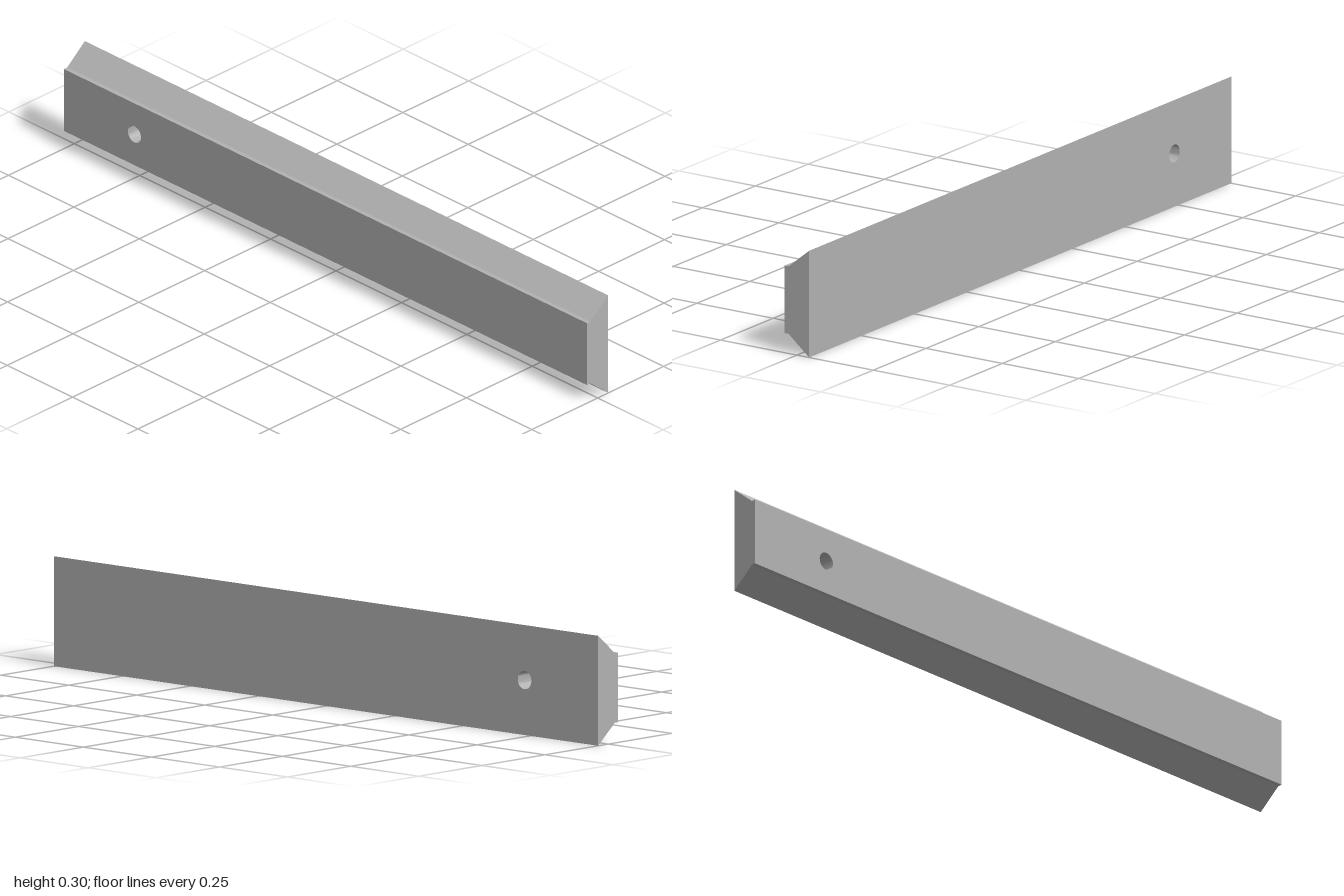
import * as THREE from 'three';
import { toCreasedNormals } from 'three/addons/utils/BufferGeometryUtils.js';

const LENGTH = 2, BACK_HEIGHT = 0.3, FRONT_HEIGHT = 0.19;
const BACK_Z = -0.04, LIP_Z = 0.027, FRONT_Z = 0.04;
const HOLE_X = -0.73, HOLE_RADIUS = 0.025;

export function createModel() {
  const grey = new THREE.MeshStandardMaterial({ color: 0xb2b2b2 });
  grey.name = 'grey';

  // Rectangular back face with a round through hole
  const w = LENGTH / 2, h = BACK_HEIGHT / 2;
  const outline = new THREE.Shape([
    new THREE.Vector2(-w, -h), new THREE.Vector2(w, -h),
    new THREE.Vector2(w, h), new THREE.Vector2(-w, h),
  ]);
  outline.holes.push(new THREE.Path().absarc(HOLE_X, 0, HOLE_RADIUS, 0, Math.PI * 2, true));

  // Three rings of vertices: back edge, start of the lip, front edge
  let geometry = new THREE.ExtrudeGeometry(outline, {
    depth: 2, steps: 2, bevelEnabled: false, curveSegments: 32,
  });
  const ringZ = [BACK_Z, LIP_Z, FRONT_Z];
  const ringHeight = [BACK_HEIGHT, FRONT_HEIGHT, FRONT_HEIGHT];
  const p = geometry.attributes.position;
  for (let i = 0; i < p.count; i++) {
    const ring = Math.round(p.getZ(i));
    const y = p.getY(i);
    // Narrow the outer edges towards the lip, leaving the hole round
    if (Math.abs(y) > HOLE_RADIUS * 2) p.setY(i, Math.sign(y) * ringHeight[ring] / 2);
    p.setZ(i, ringZ[ring]);
  }
  geometry = toCreasedNormals(geometry, 0.5);
  geometry.translate(0, h, 0);

  const bar = new THREE.Mesh(geometry, grey);
  bar.name = 'bevelledBar';
  const model = new THREE.Group();
  model.name = 'drilledBar';
  model.add(bar);
  return model;
}
